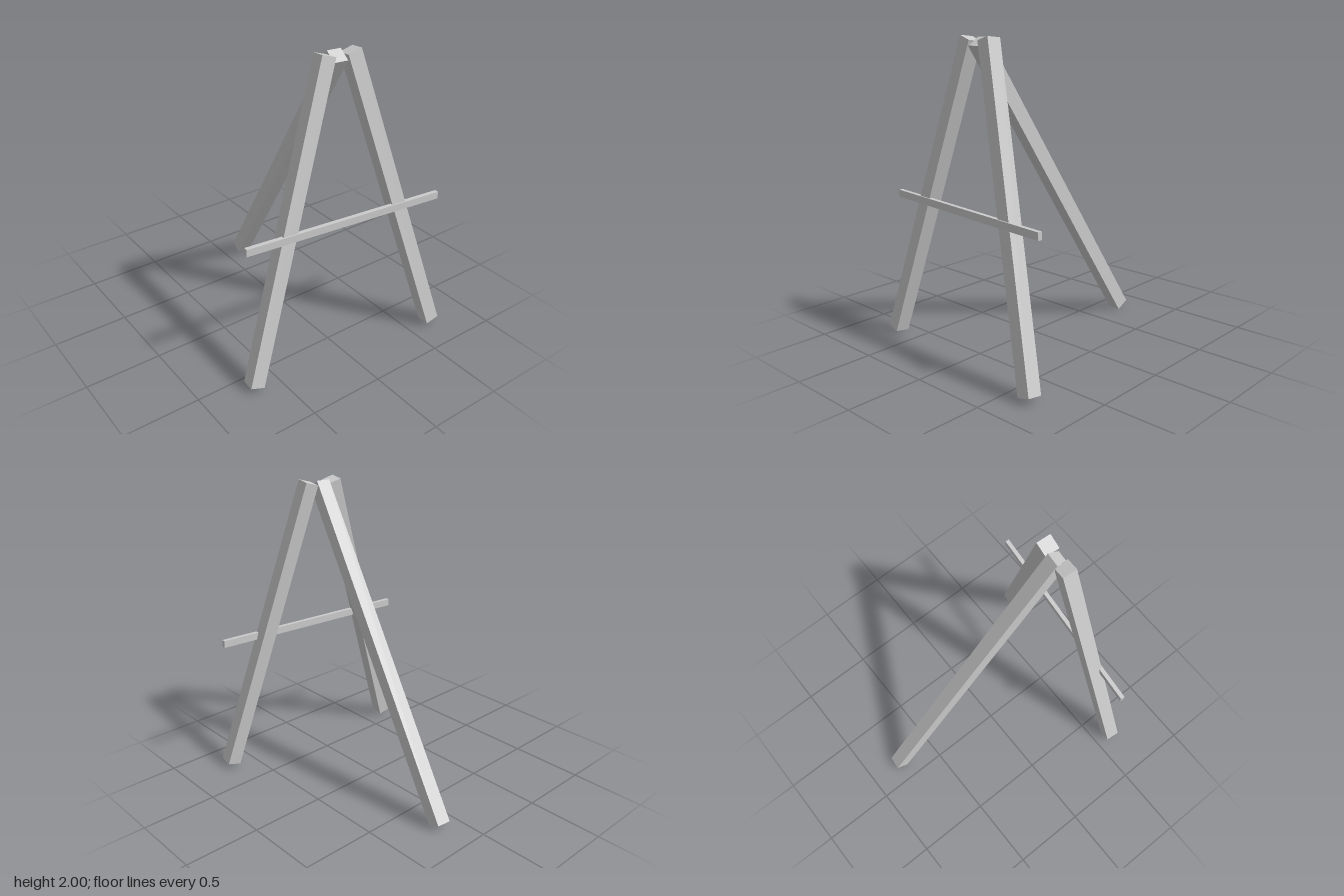
import * as THREE from 'three';

const material = new THREE.MeshStandardMaterial({ color: 0xcccccc, flatShading: true });
const LEG = 0.094; // side of the square leg section

// Square post between two end centres, its sides kept in line with the x axis
function post(name, bottom, top) {
  const axis = top.clone().sub(bottom);
  const mesh = new THREE.Mesh(new THREE.BoxGeometry(LEG, axis.length(), LEG), material);
  const y = axis.normalize();
  const z = new THREE.Vector3(1, 0, 0).cross(y).normalize();
  const x = y.clone().cross(z);
  mesh.quaternion.setFromRotationMatrix(new THREE.Matrix4().makeBasis(x, y, z));
  mesh.position.copy(bottom).add(top).multiplyScalar(0.5);
  mesh.name = name;
  return mesh;
}

export function createModel() {
  const model = new THREE.Group();
  model.name = 'easel';

  // The whole stand is turned slightly about the vertical
  const stand = new THREE.Group();
  stand.name = 'stand';
  stand.rotation.y = THREE.MathUtils.degToRad(-6);
  stand.position.set(0.062, 0, 0.0065);
  model.add(stand);
  const center = -0.0; // stand's own middle plane

  // Mirrored pair of front legs
  for (const side of [1, -1]) {
    stand.add(post(side > 0 ? 'frontLegLeft' : 'frontLegRight',
      new THREE.Vector3(center + side * 0.676, 0.034, 0.687),
      new THREE.Vector3(center + side * 0.086, 1.982, 0.48)));
  }

  // Rear leg, leaning far back
  stand.add(post('rearLeg',
    new THREE.Vector3(center - 0.006, 0.026, -0.778),
    new THREE.Vector3(center - 0.006, 1.966, 0.487)));

  // Ledge bar let into the front of the legs
  const bar = new THREE.Mesh(new THREE.BoxGeometry(1.38, 0.048, 0.028), material);
  bar.name = 'crossbar';
  bar.position.set(center + 0.006, 0.96, 0.628);
  stand.add(bar);

  // Shift from the turned frame to the middle of the footprint
  stand.position.x -= 0.062 - 0.062 * Math.cos(stand.rotation.y);
  stand.position.x += 0;
  const box = new THREE.Box3().setFromObject(model, true);
  const mid = box.getCenter(new THREE.Vector3());
  stand.position.x -= mid.x;
  stand.position.z -= mid.z;
  stand.position.y -= box.min.y;
  return model;
}
